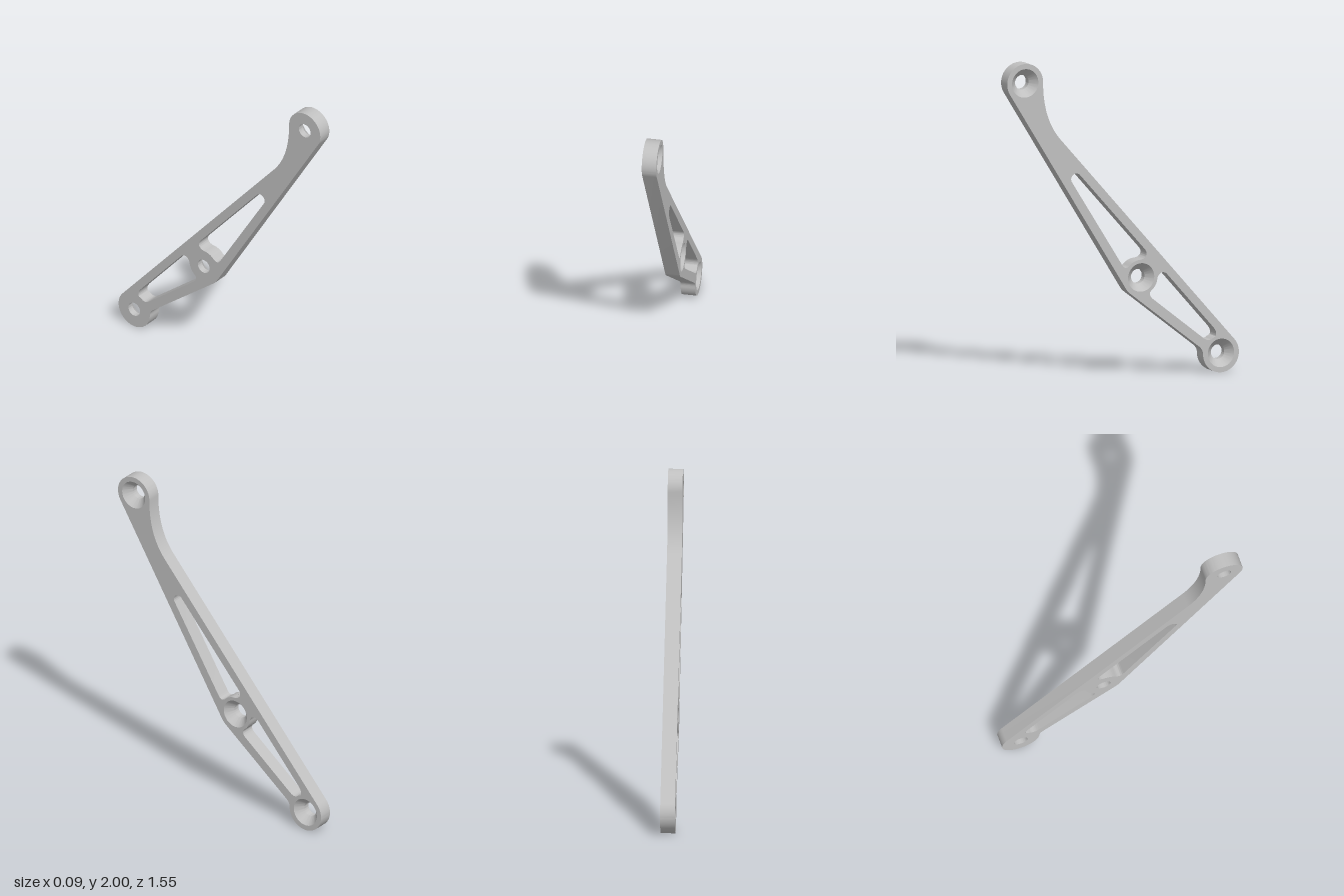
import * as THREE from 'three';
import { toCreasedNormals } from 'three/addons/utils/BufferGeometryUtils.js';

const THICK = 0.09;
const BOSS = 0.12;      // outer radius round each bolt hole
const RIM = 0.088;      // wide end of the countersink
const BORE = 0.045;     // bolt hole
const RELIEF = 0.11;    // window edge that follows a boss
const rad = THREE.MathUtils.degToRad;

// Bolt centres in the plate's own plane (across, up)
const TOP = [-0.657, 1.88], MID = [0.12, 0.625], LOW = [0.655, 0.12];

const arc = (path, [x, y], r, from, to) => path.absarc(x, y, r, rad(from), rad(to), to < from);

function outline() {
  const s = new THREE.Shape();
  arc(s, TOP, BOSS, 0, 211.7);
  arc(s, MID, BOSS, 211.7, 232);
  s.lineTo(0.505, 0.172);
  s.quadraticCurveTo(0.535, 0.149, 0.535, 0.12);
  arc(s, LOW, BOSS, 180, 401.5);
  s.lineTo(-0.421, 1.517);
  s.quadraticCurveTo(-0.538, 1.65, -0.537, 1.88);
  return s;
}

// Long window between the top and middle bolts
function upperWindow() {
  const p = new THREE.Path();
  arc(p, [-0.315, 1.265], 0.034, 211.7, 41.5);
  p.lineTo(0.145, 0.798);
  p.bezierCurveTo(0.17, 0.77, 0.155, 0.737, 0.11, 0.734);
  arc(p, MID, RELIEF, 95, 126);
  p.bezierCurveTo(0.03, 0.69, 0.012, 0.68, -0.008, 0.712);
  p.closePath();
  return p;
}

// Short window between the middle and bottom bolts
function lowerWindow() {
  const p = new THREE.Path();
  p.moveTo(0.294, 0.633);
  p.bezierCurveTo(0.27, 0.66, 0.235, 0.645, 0.229, 0.61);
  arc(p, MID, RELIEF, -8, -50);
  p.bezierCurveTo(0.17, 0.525, 0.178, 0.505, 0.197, 0.488);
  p.lineTo(0.535, 0.222);
  p.bezierCurveTo(0.56, 0.202, 0.575, 0.203, 0.588, 0.208);
  arc(p, LOW, RELIEF, 127, 110);
  p.bezierCurveTo(0.63, 0.24, 0.62, 0.262, 0.607, 0.279);
  p.closePath();
  return p;
}

export function createModel() {
  const group = new THREE.Group();
  const metal = new THREE.MeshStandardMaterial({ color: 0xc0c0c0 });
  metal.name = 'light grey metal';

  // Flat arm plate
  const shape = outline();
  shape.holes.push(upperWindow(), lowerWindow());
  for (const c of [TOP, MID, LOW]) {
    const hole = new THREE.Path();
    arc(hole, c, RIM, 0, 360);
    shape.holes.push(hole);
  }
  let plate = new THREE.ExtrudeGeometry(shape, { depth: THICK, bevelEnabled: false, curveSegments: 24 });
  plate.translate(0, 0, -THICK / 2).rotateY(Math.PI / 2);
  const arm = new THREE.Mesh(toCreasedNormals(plate, 0.6), metal);
  arm.name = 'armPlate';
  group.add(arm);

  // Countersunk bolt seats, open towards +x
  const h = THICK / 2;
  const profile = [[RIM, h], [BORE, -0.005], [BORE, -h], [RIM, -h]].map(([r, y]) => new THREE.Vector2(r, y));
  const seat = toCreasedNormals(new THREE.LatheGeometry(profile, 48).rotateZ(-Math.PI / 2), 0.5);
  [['topBoltSeat', TOP], ['middleBoltSeat', MID], ['bottomBoltSeat', LOW]].forEach(([name, [u, v]]) => {
    const mesh = new THREE.Mesh(seat, metal);
    mesh.name = name;
    mesh.position.set(0, v, -u);
    group.add(mesh);
  });
  return group;
}
